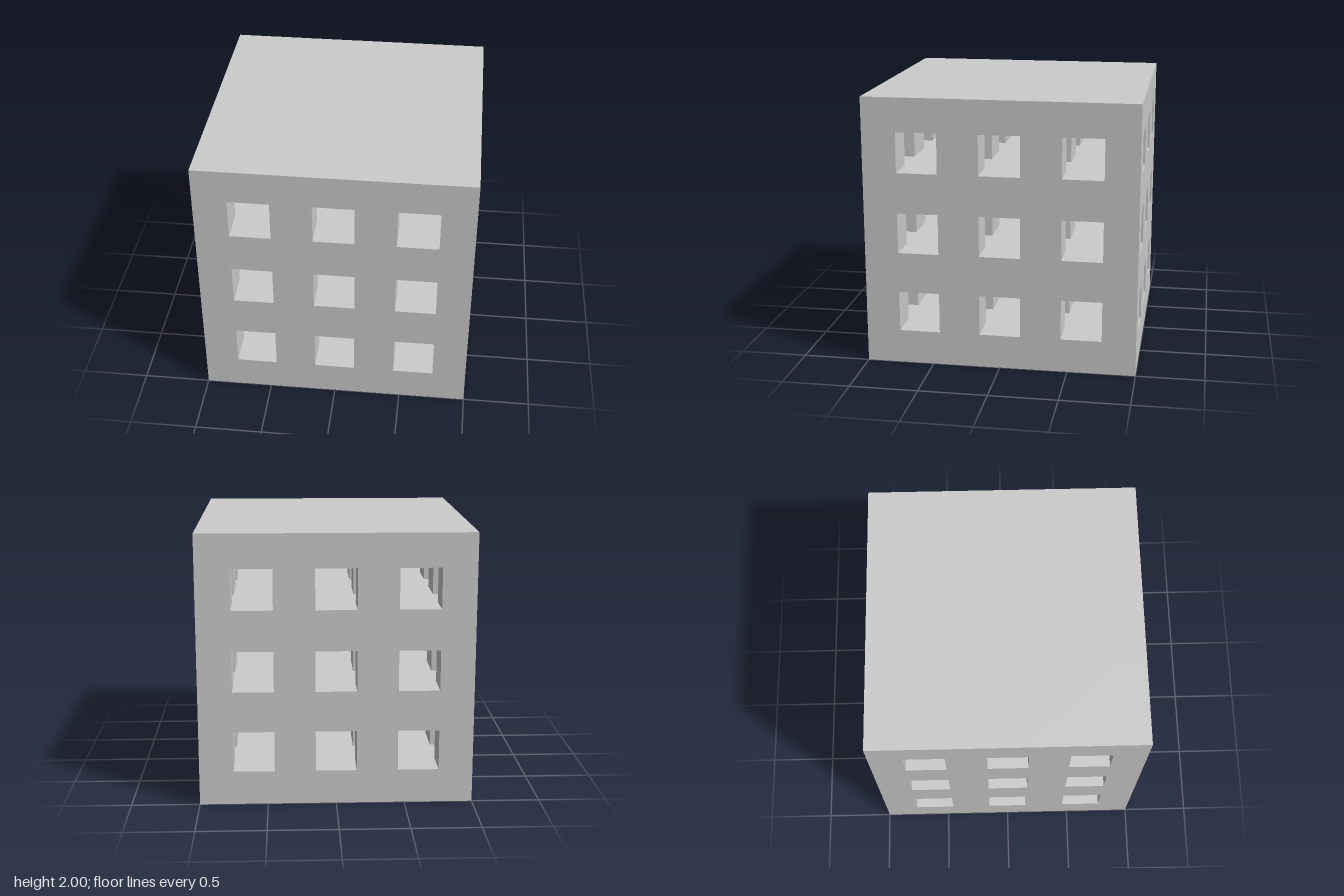
import * as THREE from 'three';

// Cut planes along every axis: odd intervals are tunnels, even ones are solid
const CUTS = [-1, -0.75, -0.45, -0.15, 0.15, 0.45, 0.75, 1];
const N = CUTS.length - 1;

// Square tunnels run along x and z on three levels and cross each other
function isSolid([x, y, z]) {
  if ([x, y, z].some((i) => i < 0 || i >= N)) return false;
  return y % 2 === 0 || (x % 2 === 0 && z % 2 === 0);
}

// Add one cell face, wound to face outwards
function addFace(out, cell, axis, side) {
  const u = (axis + 1) % 3, v = (axis + 2) % 3;
  const corners = [[0, 0], [1, 0], [1, 1], [0, 1]].map(([du, dv]) => {
    const p = [];
    p[axis] = CUTS[cell[axis] + (side > 0 ? 1 : 0)];
    p[u] = CUTS[cell[u] + du];
    p[v] = CUTS[cell[v] + dv];
    p[1] += 1; // stand on the ground
    return p;
  });
  const order = side > 0 ? [0, 1, 2, 0, 2, 3] : [0, 2, 1, 0, 3, 2];
  for (const i of order) out.push(...corners[i]);
}

// Exposed faces of one horizontal layer
function layerGeometry(y) {
  const out = [];
  for (let x = 0; x < N; x++) {
    for (let z = 0; z < N; z++) {
      const cell = [x, y, z];
      if (!isSolid(cell)) continue;
      for (let axis = 0; axis < 3; axis++) {
        for (const side of [-1, 1]) {
          const next = [...cell];
          next[axis] += side;
          if (!isSolid(next)) addFace(out, cell, axis, side);
        }
      }
    }
  }
  const geometry = new THREE.BufferGeometry();
  geometry.setAttribute('position', new THREE.Float32BufferAttribute(out, 3));
  geometry.computeVertexNormals();
  return geometry;
}

export function createModel() {
  const group = new THREE.Group();
  group.name = 'perforatedCube';
  const material = new THREE.MeshStandardMaterial({ color: 0xcccccc, flatShading: true });

  // Solid slabs alternate with layers of sixteen square pillars
  for (let y = 0; y < N; y++) {
    const mesh = new THREE.Mesh(layerGeometry(y), material);
    mesh.name = y === 0 ? 'baseSlab' : y === N - 1 ? 'topSlab' : y % 2 ? 'pillarLayer' : 'middleSlab';
    group.add(mesh);
  }
  return group;
}
